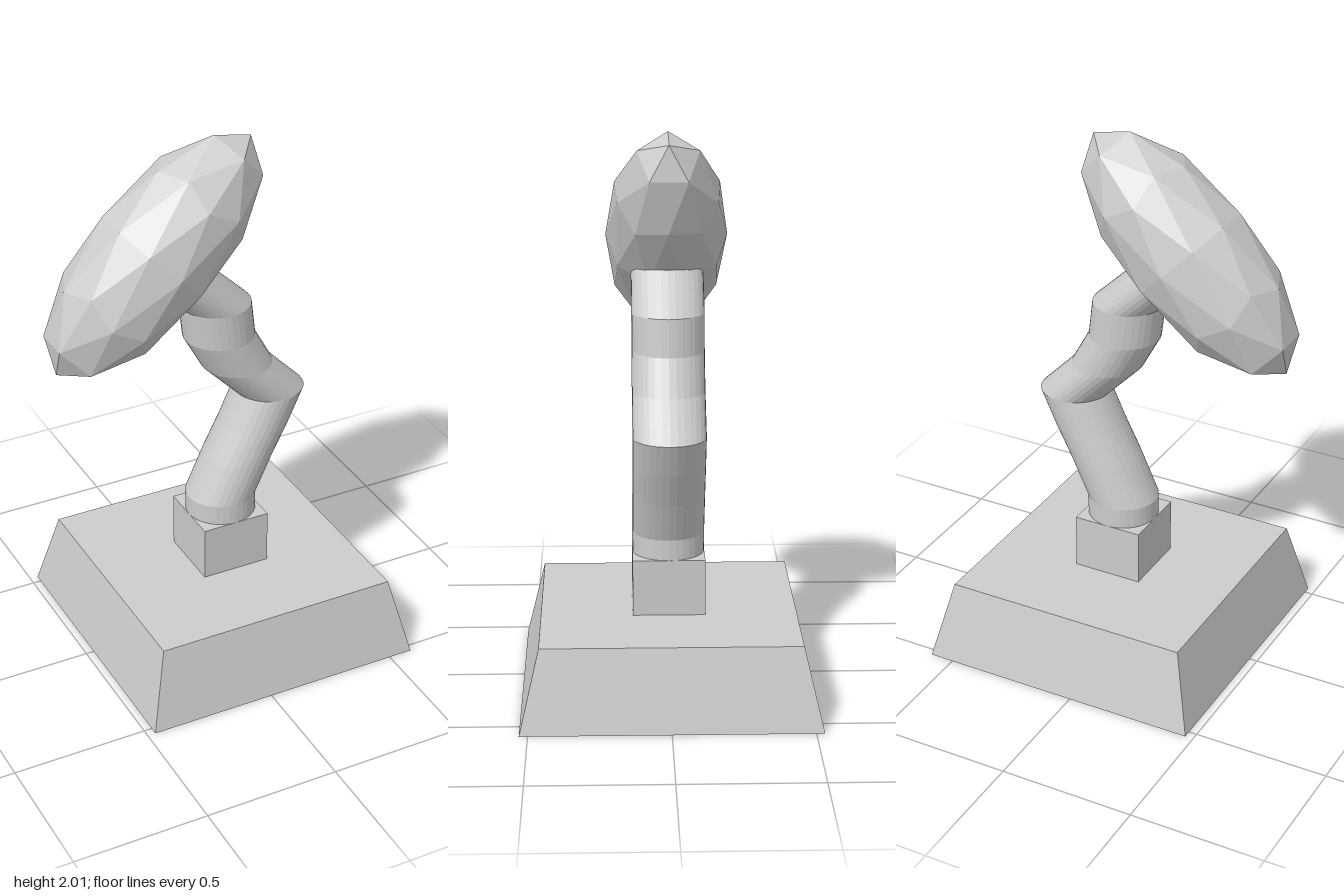
import * as THREE from 'three';

export function createModel() {
  const group = new THREE.Group();
  const grey = new THREE.MeshStandardMaterial({ color: 0xcccccc, flatShading: true });

  function add(name, geometry, x, y) {
    const mesh = new THREE.Mesh(geometry, grey);
    mesh.name = name;
    mesh.position.set(x, y, 0);
    group.add(mesh);
    return mesh;
  }

  // Base: a square block that tapers upward
  const base = new THREE.CylinderGeometry(0.46 * Math.SQRT2, 0.53 * Math.SQRT2, 0.295, 4);
  base.rotateY(Math.PI / 4);
  add('base', base, 0.06, 0.1475);

  // Socket: small box that holds the stem
  add('socket', new THREE.BoxGeometry(0.26, 0.205, 0.26), 0.06, 0.3975);

  // Stem: a cylinder whose level rings are slid sideways into a bent arm, listed top first
  const rings = [
    [-0.115, 1.52], [0.035, 1.375], [0.051, 1.24], [0.122, 1.11], [0.253, 0.975],
    [0.195, 0.85], [0.13, 0.725], [0.06, 0.575], [0.06, 0.495],
  ];
  const rows = rings.length - 1;
  const stem = new THREE.CylinderGeometry(0.13, 0.13, 1, 32, rows);
  const pos = stem.attributes.position;
  for (let i = 0; i < pos.count; i++) {
    const [cx, cy] = rings[Math.round((0.5 - pos.getY(i)) * rows)];
    pos.setX(i, pos.getX(i) + cx);
    pos.setY(i, cy);
  }
  stem.computeVertexNormals();
  add('stem', stem, 0, 0);

  // Head: a faceted ball with one corner turned up, stretched, then tilted
  const head = new THREE.IcosahedronGeometry(1, 1);
  head.rotateZ(Math.PI / 2 - Math.atan2((1 + Math.sqrt(5)) / 2, 1));
  head.scale(0.23, 0.53, 0.22);
  head.rotateZ(-Math.PI / 4);
  head.computeVertexNormals();
  add('head', head, -0.203, 1.61);

  return group;
}
